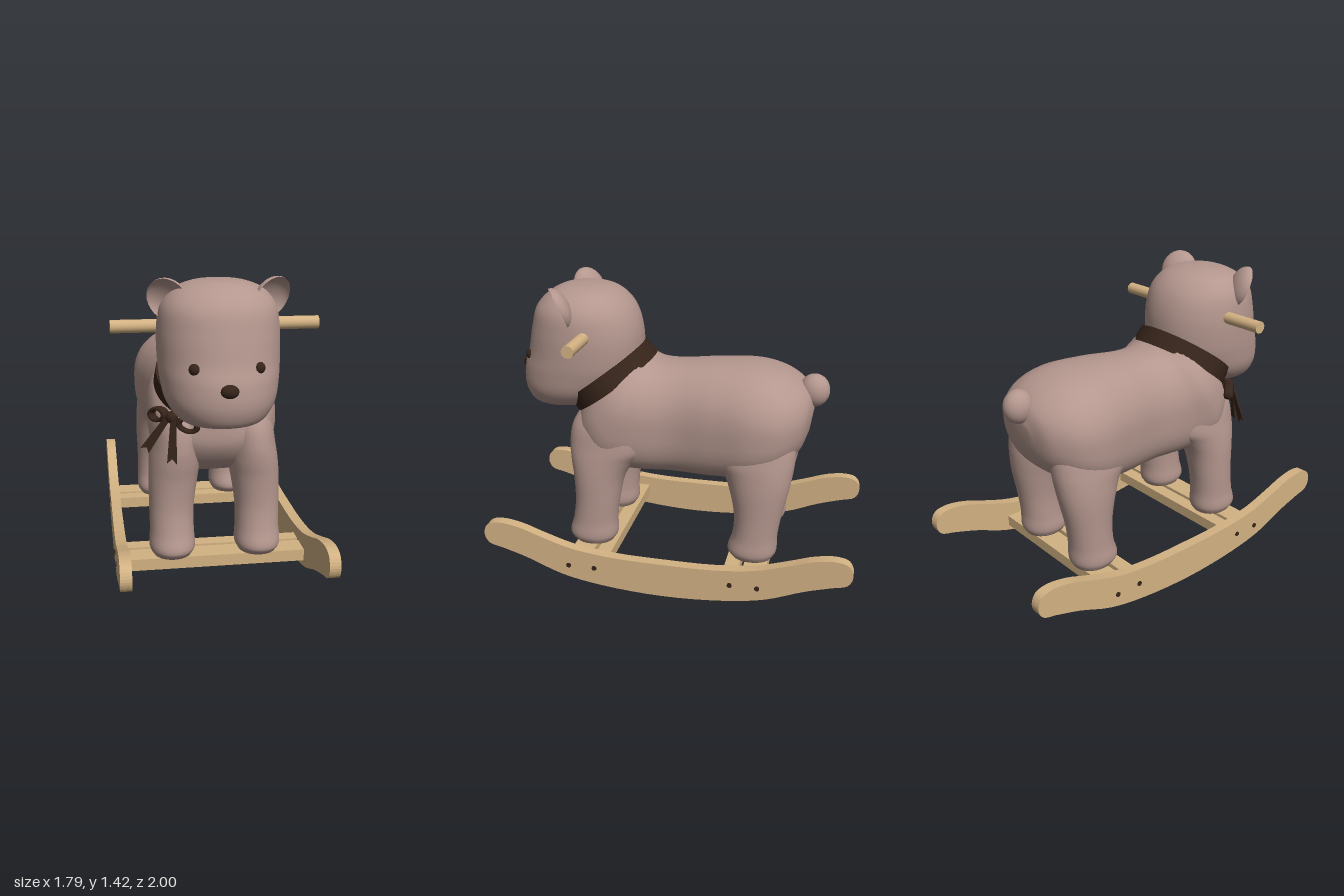
import * as THREE from 'three';

const fur = new THREE.MeshStandardMaterial({ color: 0xb4978e, side: THREE.DoubleSide });
fur.name = 'dusty fur';
const wood = new THREE.MeshStandardMaterial({ color: 0xd3b283 });
wood.name = 'light wood';
const dark = new THREE.MeshStandardMaterial({ color: 0x36241a, side: THREE.DoubleSide });
dark.name = 'dark brown';

const V = (x, y, z) => new THREE.Vector3(x, y, z);

// Smooth closed skin through rings { c, u, v }; u x v points along the loft.
// p and q set the squareness of the +v and -v halves.
function loft(rings, around = 40, steps = 5) {
  const rows = (rings.length - 1) * steps + 1;
  const curves = [];
  for (let j = 0; j < around; j++) {
    const a = (j / around) * Math.PI * 2;
    curves.push(new THREE.CatmullRomCurve3(rings.map(({ c, u, v, p, q = p }) => {
      const power = (t) => Math.sign(t) * Math.abs(t) ** (2 / (j > around / 2 ? q : p));
      return c.clone().addScaledVector(u, power(Math.cos(a))).addScaledVector(v, power(Math.sin(a)));
    })));
  }
  const pos = [], index = [];
  for (let i = 0; i < rows; i++) {
    for (const curve of curves) pos.push(...curve.getPoint(i / (rows - 1)).toArray());
  }
  const first = rows * around, last = first + 1;
  pos.push(...rings[0].c.toArray(), ...rings[rings.length - 1].c.toArray());
  for (let j = 0; j < around; j++) {
    const k = (j + 1) % around;
    for (let i = 0; i < rows - 1; i++) {
      const a = i * around + j, b = i * around + k;
      index.push(a, b, a + around, b, b + around, a + around);
    }
    const top = (rows - 1) * around;
    index.push(first, k, j, last, top + j, top + k);
  }
  const g = new THREE.BufferGeometry();
  g.setAttribute('position', new THREE.Float32BufferAttribute(pos, 3));
  g.setIndex(index);
  g.computeVertexNormals();
  return g;
}

export function createModel() {
  const model = new THREE.Group();
  model.name = 'rockingBear';
  const toy = new THREE.Group();
  toy.name = 'toy';
  toy.rotation.y = -0.61;
  model.add(toy);
  const add = (name, geometry, material, x = 0, y = 0, z = 0) => {
    const m = new THREE.Mesh(geometry, material);
    m.name = name;
    m.position.set(x, y, z);
    toy.add(m);
    return m;
  };

  // Rockers: one symmetrical outline, extruded
  const half = [[0.25, 0.18], [0.45, 0.205], [0.6, 0.25], [0.72, 0.29], [0.82, 0.302], [0.875, 0.285],
    [0.896, 0.235], [0.875, 0.185], [0.8, 0.162], [0.68, 0.125], [0.5, 0.055], [0.3, 0.018]];
  const outline = [[0, 0.175], ...half, [0, 0], ...half.map(([z, y]) => [-z, y]).reverse()];
  const loop = new THREE.CatmullRomCurve3(outline.map(([z, y]) => V(z, y, 0)), true);
  const rockerShape = new THREE.Shape(loop.getPoints(104).slice(0, -1).map((p) => new THREE.Vector2(p.x, p.y)));
  const rocker = new THREE.ExtrudeGeometry(rockerShape, { depth: 0.05, bevelEnabled: false });
  rocker.translate(0, 0, -0.025).rotateY(-Math.PI / 2);
  const screw = new THREE.CylinderGeometry(0.012, 0.012, 0.006, 12).rotateZ(Math.PI / 2);
  for (const s of [-1, 1]) {
    add(s > 0 ? 'leftRocker' : 'rightRocker', rocker, wood, s * 0.438);
    for (const z of [0.463, 0.333, -0.332, -0.462]) add('screw', screw, dark, s * 0.465, 0.11, z);
  }

  // Cross slats under the feet
  for (const [z, w] of [[0.43, 0.11], [0.32, 0.07], [-0.32, 0.07], [-0.43, 0.11]]) {
    add('crossSlat', new THREE.BoxGeometry(0.83, 0.055, w), wood, 0, 0.1075, z);
  }

  // Body: [top z, top y, bottom z, bottom y, half width, lower squareness], rear to neck
  const body = [
    [-0.65, 0.87, -0.63, 0.74, 0.07, 2], [-0.625, 0.95, -0.59, 0.65, 0.19, 2.3], [-0.54, 1.02, -0.49, 0.57, 0.285, 2.7],
    [-0.4, 1.065, -0.37, 0.53, 0.314, 3], [-0.2, 1.067, -0.2, 0.505, 0.282, 3], [0, 1.05, 0.02, 0.5, 0.244, 3],
    [0.1, 1.05, 0.22, 0.5, 0.268, 3], [0.14, 1.06, 0.4, 0.53, 0.3, 2.8], [0.16, 1.08, 0.51, 0.66, 0.28, 2.3],
    [0.17, 1.09, 0.52, 0.81, 0.24, 2], [0.22, 1.14, 0.56, 0.89, 0.21, 2],
  ];
  add('body', loft(body.map(([tz, ty, bz, by, w, q]) => ({
    c: V(0, (ty + by) / 2, (tz + bz) / 2),
    u: V(w, 0, 0),
    v: V(0, (ty - by) / 2, (tz - bz) / 2),
    p: 2.2,
    q,
  })), 48, 6), fur);

  // Head: [y, back z, front z, half width]
  const head = [
    [0.815, 0.5, 0.71, 0.09], [0.83, 0.41, 0.76, 0.175], [0.9, 0.28, 0.792, 0.235], [1, 0.21, 0.788, 0.258],
    [1.08, 0.195, 0.763, 0.265], [1.2, 0.2, 0.738, 0.265], [1.3, 0.235, 0.708, 0.248], [1.365, 0.295, 0.645, 0.195],
    [1.398, 0.365, 0.575, 0.115], [1.408, 0.44, 0.5, 0.03],
  ];
  add('head', loft(head.map(([y, b, f, w]) => ({
    c: V(0, y, (b + f) / 2), u: V(w, 0, 0), v: V(0, 0, (b - f) / 2), p: 2.1,
  })), 48, 6), fur);

  // Legs flaring into the flanks: [y, x, z, half width, half depth]
  const legs = {
    FrontLeg: [[0.136, 0.2, 0.41, 0.088, 0.1], [0.17, 0.2, 0.412, 0.105, 0.122], [0.25, 0.2, 0.402, 0.102, 0.113],
      [0.36, 0.2, 0.388, 0.103, 0.112], [0.5, 0.19, 0.375, 0.113, 0.132], [0.58, 0.18, 0.355, 0.118, 0.165],
      [0.65, 0.172, 0.32, 0.118, 0.205], [0.75, 0.16, 0.305, 0.113, 0.205], [0.84, 0.14, 0.29, 0.085, 0.17]],
    RearLeg: [[0.136, 0.2, -0.4, 0.088, 0.1], [0.17, 0.2, -0.398, 0.105, 0.12], [0.25, 0.2, -0.41, 0.102, 0.11],
      [0.36, 0.2, -0.42, 0.102, 0.115], [0.5, 0.192, -0.42, 0.114, 0.145], [0.58, 0.182, -0.41, 0.122, 0.168],
      [0.65, 0.172, -0.387, 0.128, 0.198], [0.75, 0.155, -0.375, 0.128, 0.205], [0.83, 0.145, -0.37, 0.1, 0.16]],
  };
  for (const s of [-1, 1]) {
    const side = s > 0 ? 'left' : 'right';
    for (const [name, rings] of Object.entries(legs)) {
      add(side + name, loft(rings.map(([y, x, z, w, d]) => ({
        c: V(s * x, y, z), u: V(w, 0, 0), v: V(0, 0, -d), p: 2.1,
      })), 32), fur);
    }

    // Cupped ears, open to the front and outward
    const cup = new THREE.SphereGeometry(0.094, 28, 12, 0, Math.PI * 2, 0, Math.PI / 2);
    cup.scale(1, 0.6, 1.1).rotateX(-Math.PI / 2 + 0.4);
    const ear = add(side + 'Ear', cup, fur, s * 0.222, 1.325, 0.535);
    ear.rotation.y = s * 0.5;

    add(side + 'Eye', new THREE.SphereGeometry(0.026, 20, 14), dark, s * 0.132, 1.07, 0.72);
  }

  // Nose and tail
  add('nose', new THREE.SphereGeometry(0.038, 24, 16).scale(1, 0.75, 0.7), dark, 0, 0.99, 0.79);
  add('tail', new THREE.SphereGeometry(0.073, 28, 20).scale(0.9, 1.1, 1), fur, 0, 0.945, -0.643);

  // Handle bar through the head
  add('handle', new THREE.CylinderGeometry(0.029, 0.029, 0.92, 24).rotateZ(Math.PI / 2), wood, 0, 1.2, 0.412);

  // Tilted collar band
  const band = new THREE.CylinderGeometry(0.262, 0.268, 0.085, 56, 1);
  const collar = add('collar', band, dark, 0, 0.955, 0.35);
  collar.rotation.x = 0.64;
  collar.scale.z = 0.89;

  // Bow at the right of the neck
  add('bowKnot', new THREE.SphereGeometry(0.028, 16, 12), dark, -0.205, 0.81, 0.5);
  for (const [x, y, z, ry, rz] of [[-0.26, 0.81, 0.44, 0.85, 0.2], [-0.14, 0.785, 0.545, 0.3, -0.3]]) {
    const ring = new THREE.TorusGeometry(0.036, 0.012, 8, 24).scale(1.15, 0.75, 2);
    add('bowLoop', ring, dark, x, y, z).rotation.set(0, -ry, rz);
  }
  const strip = new THREE.Shape([[-0.012, 0], [0.012, 0], [0.022, -0.2], [0, -0.18], [-0.022, -0.2]]
    .map(([x, y]) => new THREE.Vector2(x, y)));
  const ribbon = new THREE.ExtrudeGeometry(strip, { depth: 0.006, bevelEnabled: false });
  add('bowTail', ribbon, dark, -0.215, 0.82, 0.5).rotation.set(0, -0.25, -0.6);
  add('bowTail', ribbon, dark, -0.2, 0.81, 0.52).rotation.set(-0.12, -0.4, -0.05);

  return model;
}
